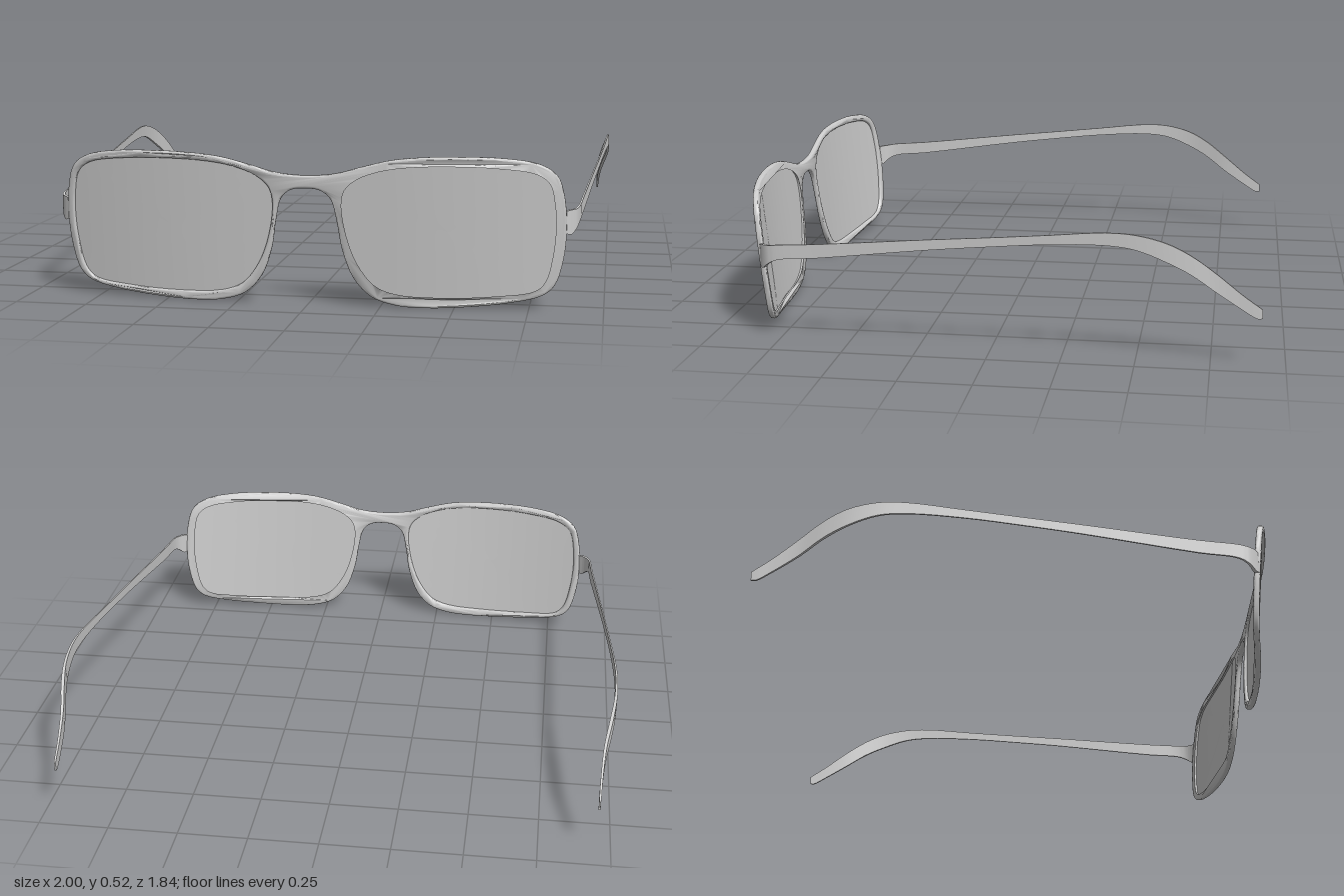
import * as THREE from 'three';
import { toCreasedNormals } from 'three/addons/utils/BufferGeometryUtils.js';

const grey = new THREE.MeshStandardMaterial({ color: 0xcccccc, side: THREE.DoubleSide });
grey.name = 'light grey';

// Right half of the rim's outer outline, from bridge top round to bridge underside
const RIM = [[0, .455], [.1, .463], [.2, .49], [.3, .514], [.42, .525], [.55, .527], [.67, .522], [.78, .503],
  [.838, .465], [.862, .4], [.872, .28], [.862, .17], [.835, .085], [.795, .05], [.7, .027], [.55, .01],
  [.4, .003], [.3, .01], [.22, .037], [.16, .1], [.122, .2], [.105, .3], [.085, .375], [.05, .404], [0, .41]];

// Outline of one lens opening
const LENS = [[.115, .35], [.127, .41], [.17, .45], [.25, .481], [.35, .497], [.5, .502], [.65, .496], [.775, .476],
  [.822, .44], [.84, .37], [.845, .28], [.835, .18], [.812, .095], [.775, .06], [.65, .042], [.45, .034],
  [.3, .043], [.23, .07], [.178, .13], [.138, .22]];

// Temple sections: z, x, top y, bottom y, thickness
const TEMPLE = [[.808, .868, .342, .265, .012], [.795, .884, .345, .262, .012], [.775, .9, .346, .28, .01],
  [.74, .91, .351, .298, .007], [.6, .92, .361, .312, .006], [.2, .95, .4, .364, .005], [0, .965, .418, .386, .005],
  [-.2, .979, .437, .405, .005], [-.4, .991, .456, .413, .006], [-.5, .995, .452, .402, .008],
  [-.6, .991, .427, .364, .01], [-.68, .978, .385, .321, .012], [-.76, .961, .325, .262, .01],
  [-.85, .953, .252, .202, .008], [-.9, .951, .216, .172, .007], [-.918, .95, .203, .172, .006]];

const smooth = (pts, n) => new THREE.CatmullRomCurve3(pts.map(([x, y]) => new THREE.Vector3(x, y, 0)), true)
  .getPoints(n).slice(0, n).map(p => new THREE.Vector2(p.x, p.y));

// Wrap the face curve backward at the sides and lean the top forward
const frontZ = (x, y) => .885 - .21 * Math.max(0, Math.abs(x) - .25) ** 2 + .1 * (y - .27);

function bend(geo) {
  const p = geo.attributes.position;
  for (let i = 0; i < p.count; i++) p.setZ(i, p.getZ(i) + frontZ(p.getX(i), p.getY(i)));
  return geo;
}

function indexed(pos, idx) {
  const geo = new THREE.BufferGeometry();
  geo.setAttribute('position', new THREE.Float32BufferAttribute(pos, 3));
  geo.setIndex(idx);
  return geo;
}

function frameGeometry() {
  const left = RIM.slice(1, -1).reverse().map(([x, y]) => [-x, y]);
  const shape = new THREE.Shape(smooth([...RIM, ...left], 192));
  for (const s of [1, -1]) {
    shape.holes.push(new THREE.Path(smooth(LENS.map(([x, y]) => [s * x, y]), 80)));
  }
  const geo = new THREE.ExtrudeGeometry(shape, {
    depth: .008, bevelEnabled: true, bevelThickness: .007, bevelSize: .008, bevelOffset: -.008, bevelSegments: 3
  });
  geo.translate(0, 0, -.004);
  return toCreasedNormals(bend(geo), .8);
}

// Curved lens made of concentric rings
function lensGeometry(s) {
  const n = 80, rings = 8, cx = .48, cy = .27, pos = [], idx = [];
  const edge = smooth(LENS, n);
  for (let r = 0; r <= rings; r++) {
    const k = 1.015 * r / rings;
    for (const p of edge) pos.push(s * (cx + (p.x - cx) * k), cy + (p.y - cy) * k, 0);
  }
  for (let r = 0; r < rings; r++) {
    for (let i = 0; i < n; i++) {
      const j = (i + 1) % n, a = r * n + i, b = r * n + j, c = a + n, d = b + n;
      const tris = s > 0 ? [c, a, d, a, b, d] : [c, d, a, a, d, b];
      idx.push(...(r === 0 ? tris.slice(0, 3) : tris));
    }
  }
  const geo = bend(indexed(pos, idx));
  geo.computeVertexNormals();
  return geo;
}

// Thin strip lofted through rectangular sections
function templeGeometry(s) {
  const n = 60, pos = [], idx = [];
  const mid = new THREE.CatmullRomCurve3(TEMPLE.map(t => new THREE.Vector3(t[1], (t[2] + t[3]) / 2, t[0])));
  const size = new THREE.CatmullRomCurve3(TEMPLE.map(t => new THREE.Vector3(t[2] - t[3], t[4], t[0])));
  for (let i = 0; i <= n; i++) {
    const c = mid.getPoint(i / n), d = size.getPoint(i / n), t = mid.getTangent(i / n);
    const len = Math.hypot(t.x, t.z), w = d.y / 2;
    const nx = -t.z / len * w, nz = t.x / len * w;
    for (const [u, v] of [[1, 1], [1, -1], [-1, -1], [-1, 1]]) {
      pos.push(s * (c.x + u * nx), c.y + v * d.x / 2, c.z + u * nz);
    }
  }
  const quad = (a, b, c, d) => idx.push(...(s > 0 ? [a, b, c, a, c, d] : [a, c, b, a, d, c]));
  for (let i = 0; i < n; i++) {
    for (let k = 0; k < 4; k++) {
      const a = i * 4 + k, b = i * 4 + (k + 1) % 4;
      quad(a, b, b + 4, a + 4);
    }
  }
  quad(3, 2, 1, 0);
  quad(n * 4, n * 4 + 1, n * 4 + 2, n * 4 + 3);
  return toCreasedNormals(indexed(pos, idx), .7);
}

export function createModel() {
  const model = new THREE.Group();
  model.name = 'spectacles';
  const add = (name, geo) => {
    const mesh = new THREE.Mesh(geo, grey);
    mesh.name = name;
    model.add(mesh);
  };
  add('frontFrame', frameGeometry());
  for (const [side, s] of [['left', 1], ['right', -1]]) {
    add(side + 'Lens', lensGeometry(s));
    add(side + 'Temple', templeGeometry(s));
  }
  return model;
}
